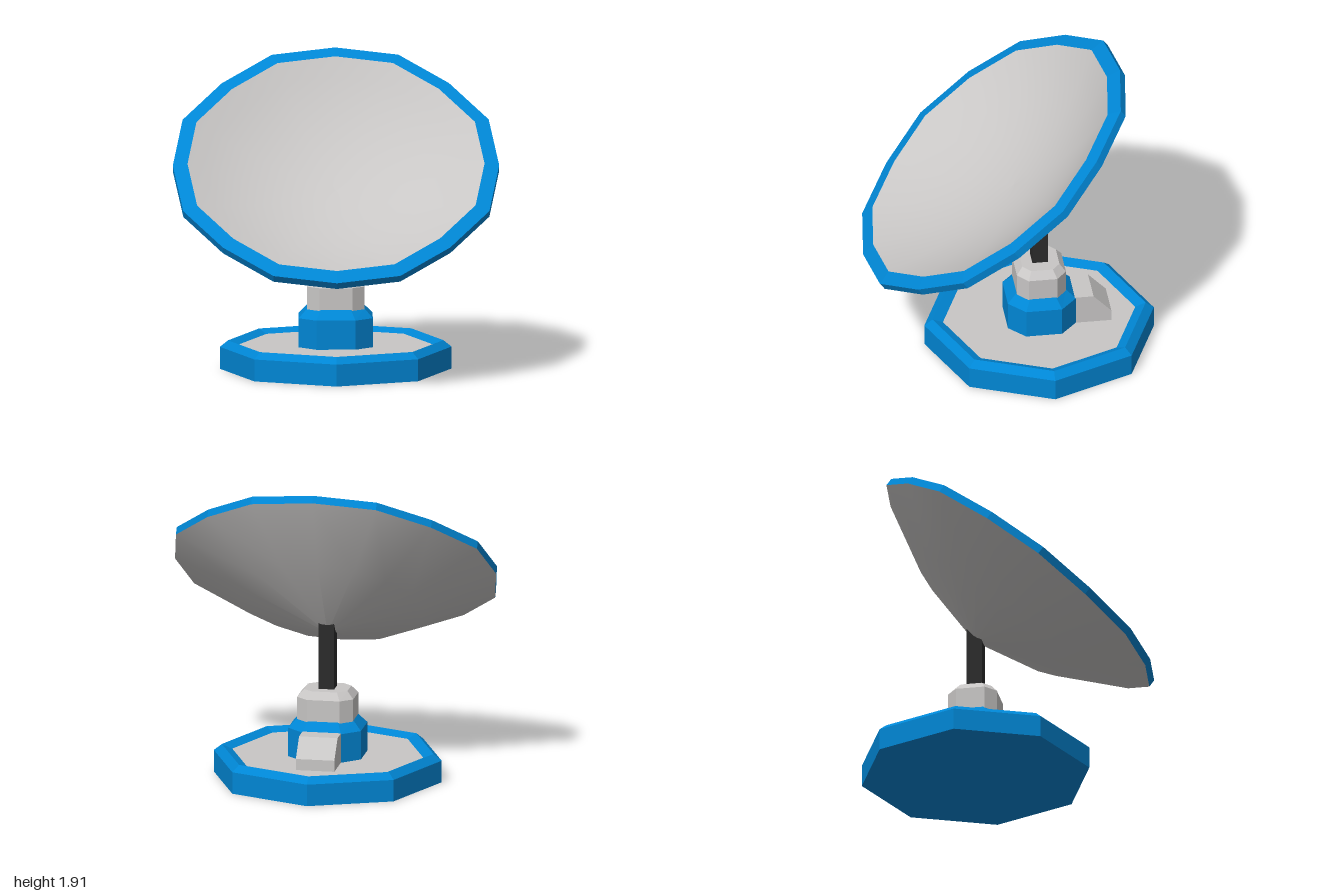
import * as THREE from 'three';

const mat = (name, color) => {
  const m = new THREE.MeshStandardMaterial({ color });
  m.name = name;
  return m;
};

// Facet a geometry so that every face is flat
function flat(geo) {
  const g = geo.index ? geo.toNonIndexed() : geo;
  g.computeVertexNormals();
  return g;
}

const lathe = (points, sides) =>
  new THREE.LatheGeometry(points.map(([r, y]) => new THREE.Vector2(r, y)), sides);

// Sixteen-sided lathe, slightly pulled in on the diagonals and out beside them
function dishLathe(points) {
  const g = lathe(points, 16), p = g.attributes.position;
  for (let i = 0; i < p.count; i++) {
    const step = Math.floor(i / points.length);
    const s = step % 2 ? 1.015 : step % 4 ? 0.985 : 1;
    p.setX(i, p.getX(i) * s);
    p.setZ(i, p.getZ(i) * s);
  }
  return g;
}

// Loft of chamfered rectangles; each ring is [y, halfX, halfZ]
function chamferedLoft(rings, k = 0.53) {
  const outline = [[k, 1], [1, k], [1, -k], [k, -1], [-k, -1], [-1, -k], [-1, k], [-k, 1]];
  const pos = [], idx = [], n = outline.length;
  for (const [y, hx, hz] of rings) for (const [x, z] of outline) pos.push(x * hx, y, z * hz);
  for (let r = 0; r < rings.length - 1; r++) {
    for (let i = 0; i < n; i++) {
      const a = r * n + i, b = r * n + (i + 1) % n;
      idx.push(a, b, b + n, a, b + n, a + n);
    }
  }
  const top = (rings.length - 1) * n;
  for (let i = 1; i < n - 1; i++) idx.push(top, top + i, top + i + 1);
  const g = new THREE.BufferGeometry();
  g.setAttribute('position', new THREE.Float32BufferAttribute(pos, 3));
  g.setIndex(idx);
  return flat(g);
}

export function createModel() {
  const blue = mat('blue', 0x0086d4);
  const grey = mat('light grey', 0xc8c6c5);
  const dark = mat('dark grey', 0x2b2b2b);

  const model = new THREE.Group();
  const add = (name, geo, material, parent) => {
    const mesh = new THREE.Mesh(geo, material);
    mesh.name = name;
    parent.add(mesh);
  };

  // Stand: octagonal base, hubs, box and pole share one axis
  const stand = new THREE.Group();
  stand.name = 'stand';
  stand.position.z = -0.19;
  model.add(stand);

  add('base', flat(lathe([[0, 0], [0.71, 0], [0.71, 0.136], [0.66, 0.176], [0.595, 0.15]], 8)), blue, stand);
  add('baseFloor', flat(lathe([[0.595, 0.15], [0, 0.15]], 8)), grey, stand);
  add('lowerHub', chamferedLoft([[0.14, 0.227, 0.21], [0.33, 0.227, 0.21], [0.387, 0.175, 0.152]]), blue, stand);
  add('upperHub', chamferedLoft([[0.38, 0.175, 0.152], [0.522, 0.175, 0.152], [0.568, 0.135, 0.115]], 0.58), grey, stand);

  // Control box behind the hub, with a sloping back
  const side = new THREE.Shape([[0.15, 0.145], [0.43, 0.145], [0.43, 0.22], [0.32, 0.335], [0.15, 0.335]]
    .map(([x, y]) => new THREE.Vector2(x, y)));
  const boxGeo = new THREE.ExtrudeGeometry(side, { depth: 0.24, bevelEnabled: false });
  boxGeo.translate(0, 0, -0.12).rotateY(Math.PI / 2);
  add('controlBox', boxGeo, grey, stand);

  // Square pole, its top slanted to end inside the dish
  const poleGeo = new THREE.BoxGeometry(0.096, 0.44, 0.096).translate(0, 0.76, 0);
  const p = poleGeo.attributes.position;
  for (let i = 0; i < p.count; i++) {
    if (p.getY(i) > 0.9) p.setY(i, p.getZ(i) > 0 ? 0.92 : 1.015);
  }
  add('pole', flat(poleGeo), dark, stand);

  // Tilted dish: rim, shallow rounded bowl and back shell
  const dish = new THREE.Group();
  dish.name = 'dish';
  dish.position.set(0, 1.267, 0.074);
  dish.rotation.x = 0.652;
  model.add(dish);

  const bowl = [];
  for (let i = 0; i <= 8; i++) {
    const t = 1 - i / 8;
    bowl.push([0.91 * t, 0.065 - 0.24 * (1 - t * t)]);
  }
  add('dishRim', flat(dishLathe([[1, 0], [1, 0.05], [0.91, 0.065]])), blue, dish);
  add('dishBowl', dishLathe(bowl), grey, dish);
  add('dishBack', dishLathe([[0, -0.445], [0.57, -0.252], [1, 0]]), grey, dish);

  return model;
}
